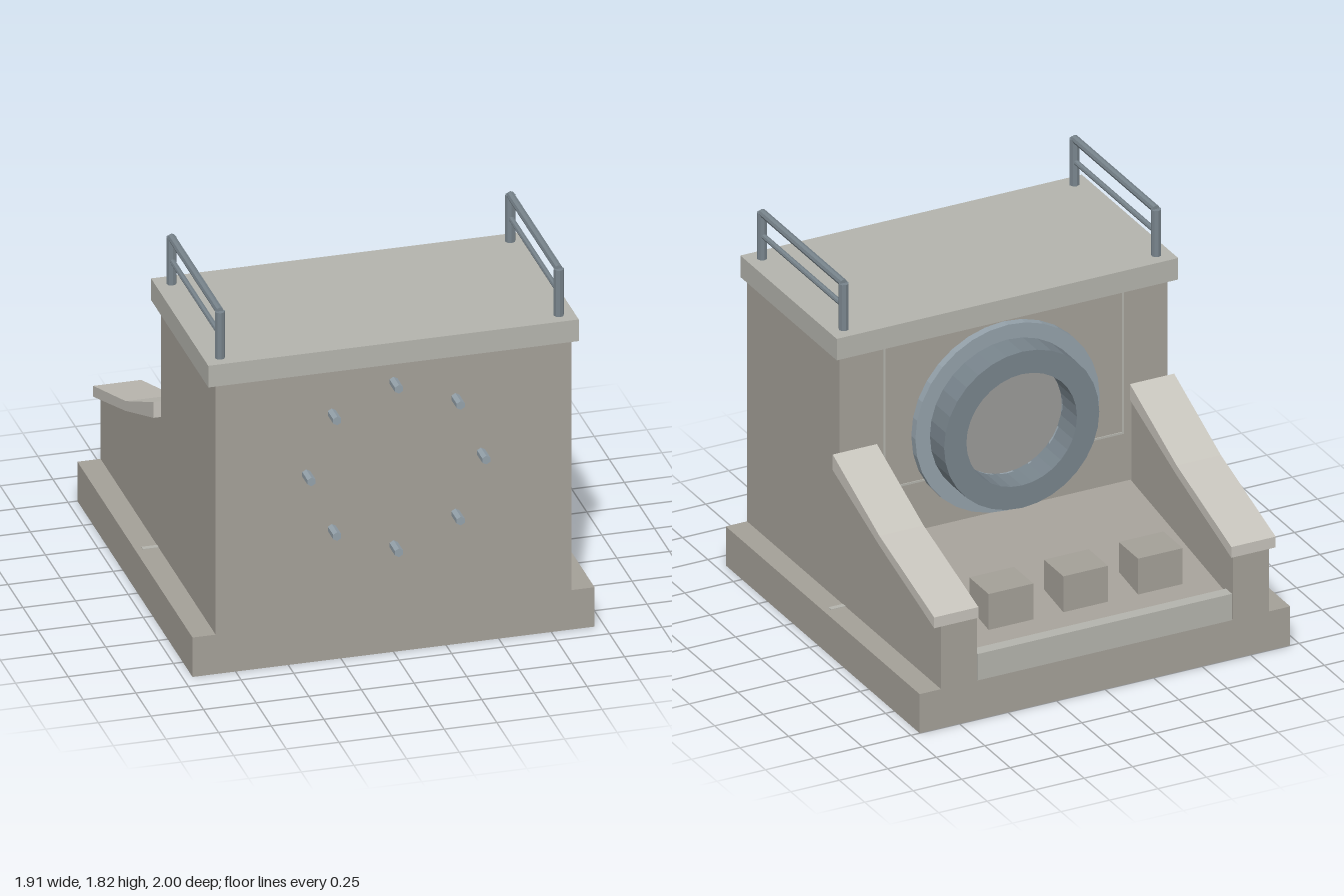
import * as THREE from 'three';

const mat = (color, side = THREE.FrontSide) =>
  new THREE.MeshStandardMaterial({ color, side, flatShading: true });

export function createModel() {
  const model = new THREE.Group();
  const concrete = mat(0xa4a098);
  const trim = mat(0xb4b4ad);
  const coping = mat(0xc6c3bb);
  const steel = mat(0x78848c);
  const flangeSteel = mat(0x94a1aa);
  const plate = mat(0x9a9a98);

  const add = (name, geo, material, parent = model) => {
    const mesh = new THREE.Mesh(geo, material);
    mesh.name = name;
    parent.add(mesh);
    return mesh;
  };

  // Box given by its limits on each axis
  const box = (name, [x0, x1], [y0, y1], [z0, z1], material, parent) => {
    const geo = new THREE.BoxGeometry(x1 - x0, y1 - y0, z1 - z0);
    geo.translate((x0 + x1) / 2, (y0 + y1) / 2, (z0 + z1) / 2);
    return add(name, geo, material, parent);
  };

  // Side profile of [z, y] points extruded from x0 to x1
  const profile = (name, points, [x0, x1], material, parent) => {
    const shape = new THREE.Shape(points.map(([z, y]) => new THREE.Vector2(z, y)));
    const geo = new THREE.ExtrudeGeometry(shape, { depth: x1 - x0, bevelEnabled: false });
    geo.rotateY(-Math.PI / 2).translate(x1, 0, 0);
    return add(name, geo, material, parent);
  };

  // Round bar along z
  const bar = (name, r, z0, z1, x, y, sides, material, parent) => {
    const geo = new THREE.CylinderGeometry(r, r, z1 - z0, sides);
    geo.rotateX(Math.PI / 2).translate(x, y, (z0 + z1) / 2);
    return add(name, geo, material, parent);
  };

  // Foundation, main block and overhanging cap
  box('foundation', [-0.955, 0.955], [0, 0.2], [-1, 0.91], concrete);
  box('headwall', [-0.845, 0.845], [0.2, 1.46], [0, 0.91], concrete);
  box('capSlab', [-0.88, 0.88], [1.46, 1.57], [-0.04, 0.91], trim);

  // Sloping apron between the wing walls, with an end sill
  profile('apron', [[-0.94, 0.2], [0, 0.2], [0, 0.47], [-0.94, 0.315]], [-0.655, 0.655], concrete);
  box('endSill', [-0.655, 0.655], [0.2, 0.335], [-1, -0.94], trim);

  // Energy-breaking blocks on the apron
  for (const x of [-0.385, 0, 0.385]) {
    box('baffleBlock', [x - 0.115, x + 0.115], [0.3, 0.52], [-0.81, -0.62], concrete);
  }

  // Wing walls, copings and joint marks on both sides
  for (const s of [-1, 1]) {
    const span = (a, b) => (s > 0 ? [a, b] : [-b, -a]);
    const wing = new THREE.Group();
    wing.name = s > 0 ? 'leftWing' : 'rightWing';
    model.add(wing);
    profile('wingWall', [[-1, 0.2], [0, 0.2], [0, 0.88], [-0.46, 0.7], [-1, 0.52]],
      span(0.66, 0.845), concrete, wing);
    profile('wingCoping', [[-1, 0.52], [-0.46, 0.7], [0, 0.88], [0, 0.96], [-0.46, 0.75], [-1, 0.575]],
      span(0.652, 0.88), coping, wing);
    box('baseJoint', span(0.845, 0.92), [0.195, 0.203], [-0.06, -0.035], trim, wing);
    box('wallJoint', span(0.61, 0.62), [0.72, 1.44], [-0.004, 0.01], trim);
  }
  box('wallJoint', [-0.62, 0.62], [0.715, 0.725], [-0.004, 0.01], trim);

  // Pipe outlet: flange, thick collar and closing plate
  const cy = 0.96;
  const ring = (name, rIn, rOut, z0, z1, material) => {
    const pts = [[rIn, z0], [rOut, z0], [rOut, z1], [rIn, z1], [rIn, z0]]
      .map(([r, z]) => new THREE.Vector2(r, z));
    const geo = new THREE.LatheGeometry(pts, 32);
    geo.rotateX(Math.PI / 2).translate(0, cy, 0);
    return add(name, geo, material);
  };
  ring('outletFlange', 0.285, 0.475, -0.04, 0.01, flangeSteel);
  ring('outletCollar', 0.285, 0.4, -0.18, 0, steel);
  bar('outletPlate', 0.29, -0.03, 0, 0, cy, 32, plate);

  // Circle of anchor bolts on the front
  for (let i = 0; i < 8; i++) {
    const a = (i * Math.PI) / 4;
    bar('anchorBolt', 0.022, 0.88, 1, 0.415 * Math.cos(a), cy + 0.415 * Math.sin(a), 6, flangeSteel);
  }

  // Handrails on the cap
  for (const x of [-0.805, 0.805]) {
    const rail = new THREE.Group();
    rail.name = x > 0 ? 'leftHandrail' : 'rightHandrail';
    model.add(rail);
    for (const z of [0.035, 0.84]) {
      add('railPost', new THREE.CylinderGeometry(0.024, 0.024, 0.235, 8), steel, rail)
        .position.set(x, 1.6875, z);
    }
    bar('topRail', 0.019, 0.035, 0.84, x, 1.804, 8, steel, rail);
    bar('middleRail', 0.013, 0.035, 0.84, x, 1.69, 8, steel, rail);
  }

  return model;
}
